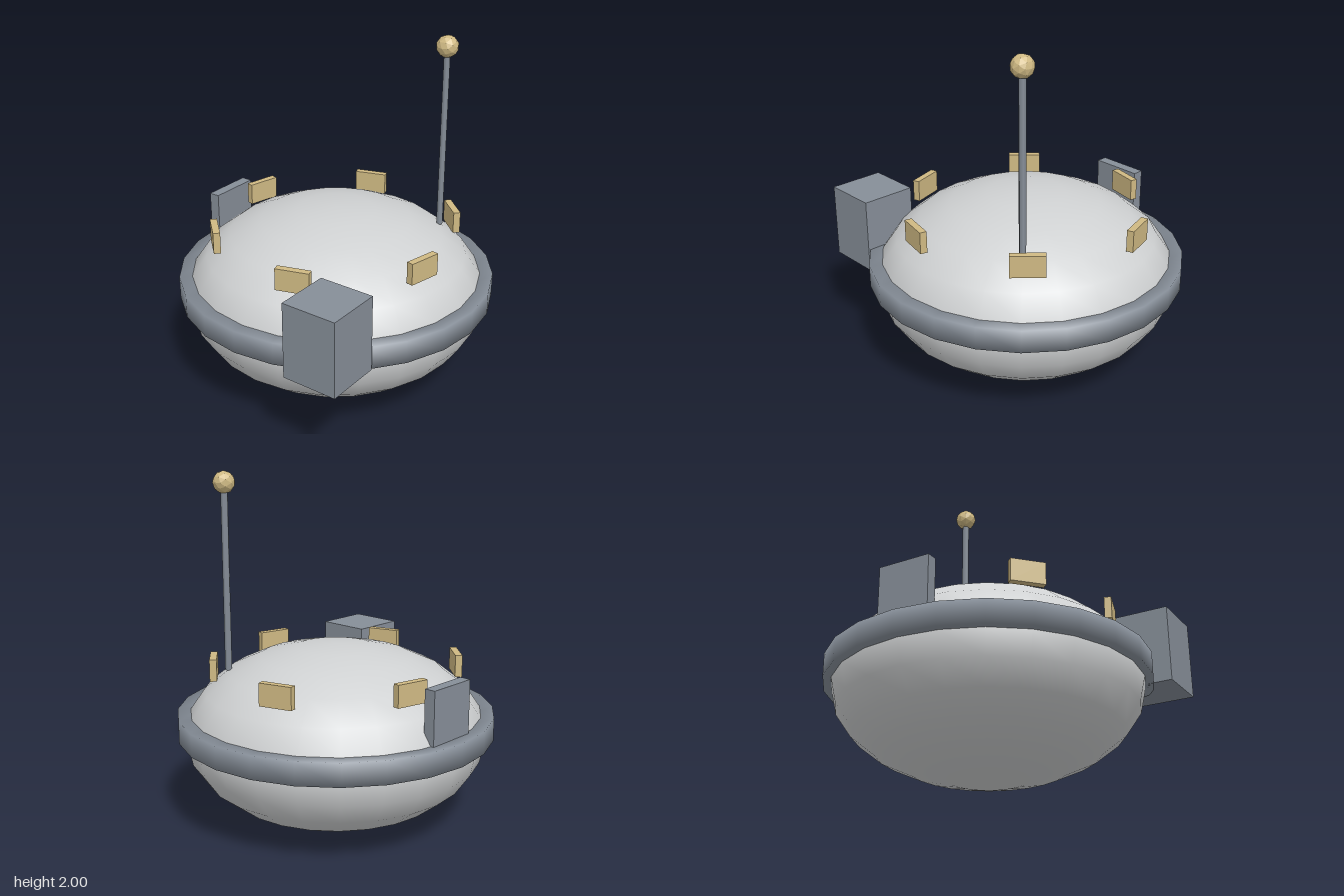
import * as THREE from 'three';

export function createModel() {
  const model = new THREE.Group();
  const hull = new THREE.MeshStandardMaterial({ name: 'pale hull', color: 0xcfd1d2 });
  const metal = new THREE.MeshStandardMaterial({ name: 'grey metal', color: 0x868e98 });
  const brass = new THREE.MeshStandardMaterial({ name: 'sand', color: 0xcfb983 });
  const brassFlat = brass.clone();
  brassFlat.flatShading = true;

  const CX = 0.012; // hull axis

  function add(name, geometry, material, x, y, z) {
    const mesh = new THREE.Mesh(geometry, material);
    mesh.name = name;
    mesh.position.set(x, y, z);
    model.add(mesh);
    return mesh;
  }

  // flattened round hull
  const hullGeometry = new THREE.SphereGeometry(0.86, 24, 12);
  hullGeometry.scale(1, 0.514 / 0.86, 1);
  add('hull', hullGeometry, hull, CX, 0.517, 0);

  // square-section belt with softened normals
  const belt = [[0.775, -0.065], [0.905, -0.065], [0.905, 0.065], [0.775, 0.065], [0.775, -0.065]]
    .map(([r, y]) => new THREE.Vector2(r, y));
  add('beltRing', new THREE.LatheGeometry(belt, 24), metal, CX, 0.585, 0);

  // six blocks standing around the dome
  const blockGeometry = new THREE.BoxGeometry(0.04, 0.125, 0.19);
  for (let i = 0; i < 6; i++) {
    const a = THREE.MathUtils.degToRad(-17.4 + i * 60);
    const block = add('domeBlock' + (i + 1), blockGeometry, brass,
      CX + 0.69 * Math.cos(a), 0.908, 0.69 * Math.sin(a));
    block.rotation.y = -a;
  }

  // side pod and rear hatch
  add('sidePod', new THREE.BoxGeometry(0.32, 0.43, 0.32), metal, -0.76, 0.735, 0.512);
  add('rearHatch', new THREE.BoxGeometry(0.3, 0.31, 0.064), metal, CX, 0.795, -0.798);

  // antenna with faceted tip
  add('antennaMast', new THREE.CylinderGeometry(0.02, 0.02, 1.05, 6), metal, 0.442, 1.405, 0.43);
  add('antennaTip', new THREE.IcosahedronGeometry(0.063, 1), brassFlat, 0.442, 1.937, 0.43);

  return model;
}
